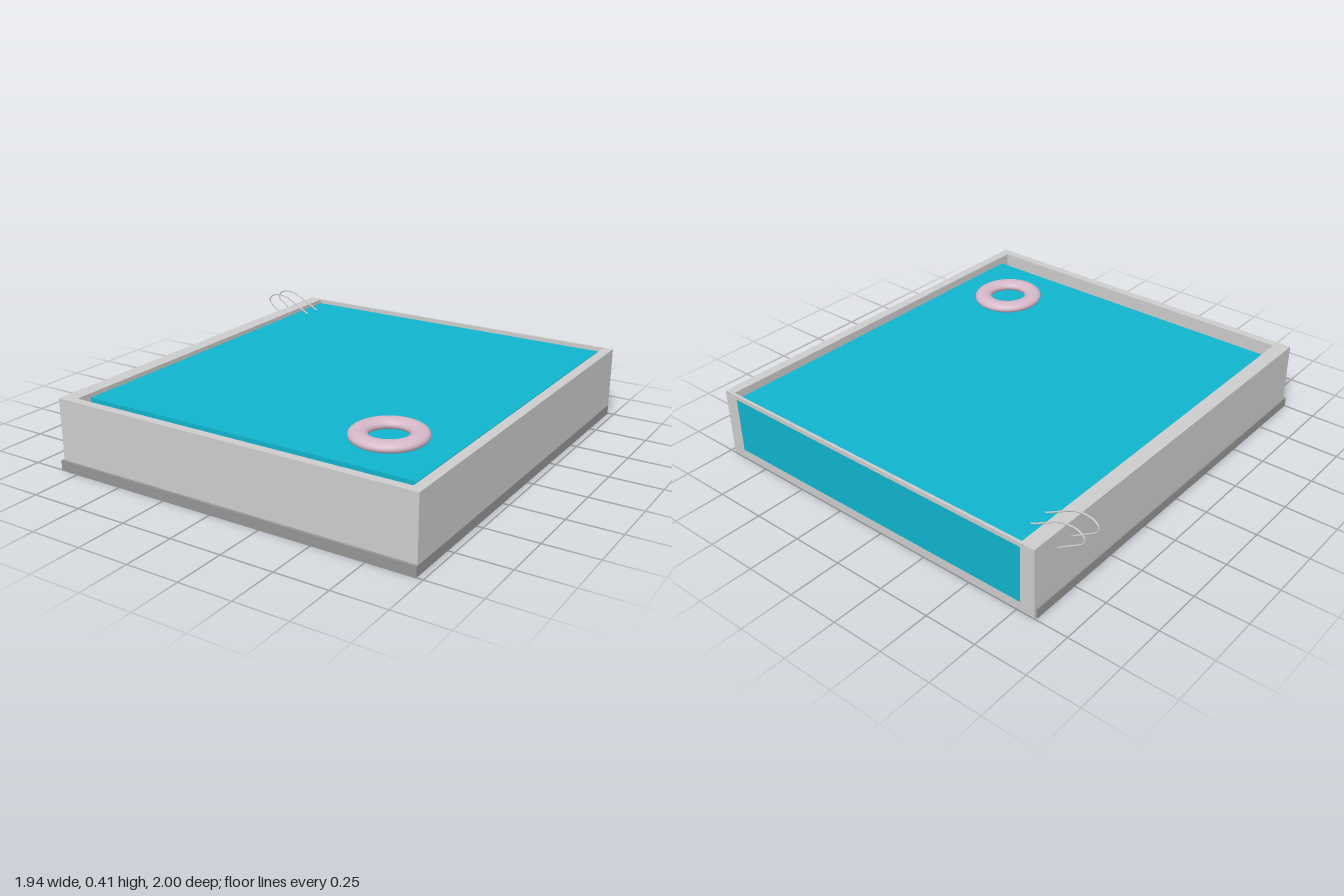
import * as THREE from 'three';

const mat = (color) => new THREE.MeshStandardMaterial({ color });
const wallMat = mat(0xcccccc);
const baseMat = mat(0x949494);
const waterMat = mat(0x10b3cd);
const ringMat = mat(0xd5b8c8);

// Outer pool walls and the block of water inside them
const WALL = { x0: -0.838, x1: 0.968, y0: 0.004, y1: 0.341, z0: -1, z1: 0.988 };
const WATER = { x0: -0.767, x1: 0.895, y0: 0.045, y1: 0.32, z0: -0.999, z1: 0.867 };
const BACK = 0.013; // thickness of the back wall

function add(group, name, geometry, material) {
  const mesh = new THREE.Mesh(geometry, material);
  mesh.name = name;
  group.add(mesh);
  return mesh;
}

// Box given by its limits on each axis
function boxBetween(b) {
  return new THREE.BoxGeometry(b.x1 - b.x0, b.y1 - b.y0, b.z1 - b.z0)
    .translate((b.x0 + b.x1) / 2, (b.y0 + b.y1) / 2, (b.z0 + b.z1) / 2);
}

function rectangle(PathType, x0, y0, x1, y1) {
  const path = new PathType();
  path.moveTo(x0, y0);
  path.lineTo(x1, y0);
  path.lineTo(x1, y1);
  path.lineTo(x0, y1);
  path.closePath();
  return path;
}

export function createModel() {
  const model = new THREE.Group();
  model.name = 'pool';

  // Base slab, whose top is also the pool floor
  add(model, 'base', boxBetween({ x0: -0.846, x1: 0.971, y0: 0, y1: 0.047, z0: -0.99, z1: 1 }), baseMat);

  // Side and front walls, open at the back
  const back = WALL.z0 + BACK;
  add(model, 'leftWall', boxBetween({ ...WALL, x0: 0.92, z0: back }), wallMat);
  add(model, 'rightWall', boxBetween({ ...WALL, x1: WATER.x0, z0: back }), wallMat);
  add(model, 'frontWall', boxBetween({ ...WALL, x0: WATER.x0, x1: 0.92, z0: 0.946 }), wallMat);

  // Thin back wall with a window onto the water
  const frame = rectangle(THREE.Shape, WALL.x0, WALL.y0, WALL.x1, WALL.y1);
  frame.holes.push(rectangle(THREE.Path, WATER.x0, WATER.y0, WATER.x1, WATER.y1));
  const frameGeometry = new THREE.ExtrudeGeometry(frame, { depth: BACK, bevelEnabled: false });
  add(model, 'backWallFrame', frameGeometry.translate(0, 0, WALL.z0), wallMat);

  add(model, 'water', boxBetween(WATER), waterMat);

  // Flattened swim ring floating on the water
  const ringGeometry = new THREE.TorusGeometry(0.13, 0.043, 24, 64).rotateX(Math.PI / 2).scale(0.985, 0.6, 1.01);
  add(model, 'swimRing', ringGeometry, ringMat).position.set(0.59, 0.337, 0.557);

  // Pair of bent ladder rails over the right wall
  const railPoints = [
    [-0.70, 0.312], [-0.76, 0.345], [-0.82, 0.379], [-0.86, 0.396], [-0.90, 0.401], [-0.94, 0.394],
    [-0.963, 0.375], [-0.965, 0.354], [-0.945, 0.333], [-0.90, 0.304], [-0.84, 0.266], [-0.79, 0.236],
  ];
  const ladder = new THREE.Group();
  ladder.name = 'ladder';
  for (const z of [-0.86, -0.77]) {
    const curve = new THREE.CatmullRomCurve3(railPoints.map(([x, y]) => new THREE.Vector3(x, y, z)));
    add(ladder, 'ladderRail', new THREE.TubeGeometry(curve, 60, 0.004, 8), wallMat);
  }
  model.add(ladder);

  return model;
}
